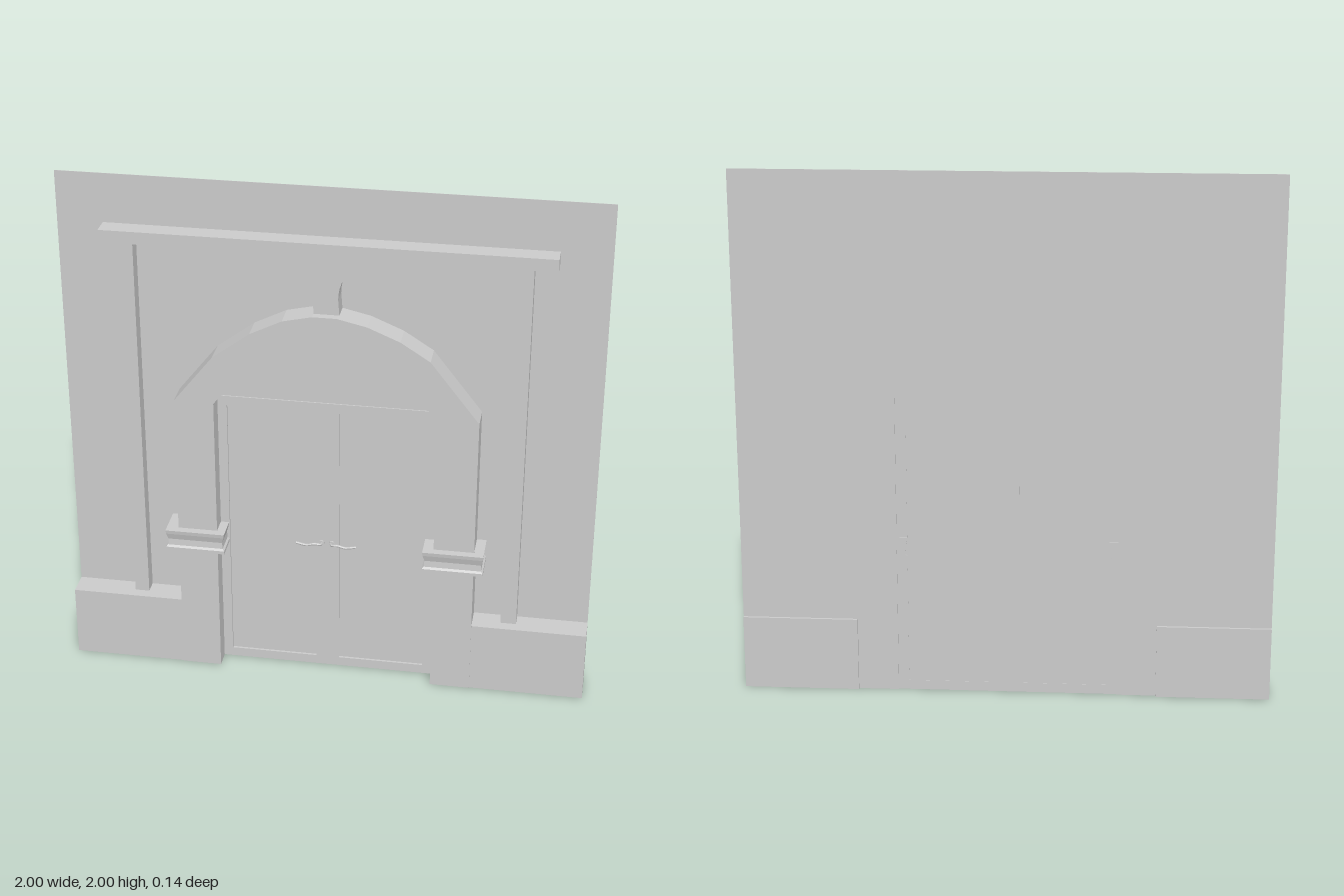
import * as THREE from 'three';

const WALL = -0.06; // plane of the wall face

export function createModel() {
  const model = new THREE.Group();
  const mat = new THREE.MeshStandardMaterial({ color: 0xcccccc, flatShading: true, side: THREE.DoubleSide });

  function add(name, geometry) {
    const mesh = new THREE.Mesh(geometry, mat);
    mesh.name = name;
    model.add(mesh);
    return mesh;
  }
  // box given by its limits
  function box(name, x0, x1, y0, y1, z0, z1) {
    const g = new THREE.BoxGeometry(x1 - x0, y1 - y0, z1 - z0);
    g.translate((x0 + x1) / 2, (y0 + y1) / 2, (z0 + z1) / 2);
    return add(name, g);
  }
  // flat outline extruded from z0 to z1
  function slab(name, shape, z0, z1) {
    const g = new THREE.ExtrudeGeometry(shape, { depth: z1 - z0, bevelEnabled: false, curveSegments: 10 });
    g.translate(0, 0, z0);
    return add(name, g);
  }
  const outline = (pts) => new THREE.Shape(pts.map(([x, y]) => new THREE.Vector2(x, y)));
  const rect = (x0, x1, y0, y1) => [[x0, y0], [x1, y0], [x1, y1], [x0, y1]];

  // thin wall with the doorway left open
  slab('wall', outline([
    [-1, 0], [-0.42, 0], [-0.42, 1.16], [0.41, 1.16], [0.41, 0], [1, 0], [1, 2], [-1, 2],
  ]), WALL - 0.002, WALL);

  // inner arc of the arch, from left springing to right
  const arc = [];
  const half = Math.asin(0.415 / 0.508);
  for (let i = 0; i <= 14; i++) {
    const a = -half + (2 * half * i) / 14;
    arc.push([-0.005 + 0.508 * Math.sin(a), 0.867 + 0.508 * Math.cos(a)]);
  }

  // arched surround with its two jambs
  slab('archSurround', outline([
    [-0.57, 0], [-0.57, 1.16], [-0.42, 1.35], [-0.28, 1.455], [-0.16, 1.515], [-0.05, 1.54],
    [0.04, 1.54], [0.15, 1.515], [0.27, 1.465], [0.38, 1.395], [0.563, 1.16], [0.563, 0],
    [0.41, 0], ...arc.slice().reverse(), [-0.42, 0],
  ]), WALL, 0.04);
  slab('tympanum', outline(arc), WALL, -0.035);

  // double door: frame with two sunk panels
  const frame = outline(rect(-0.42, 0.41, 0, 1.16));
  for (const [x0, x1] of [[-0.385, -0.05], [0.04, 0.37]]) {
    frame.holes.push(new THREE.Path(rect(x0, x1, 0.037, 1.122).map(([x, y]) => new THREE.Vector2(x, y))));
    box('doorPanel', x0, x1, 0.037, 1.122, -0.056, -0.039);
  }
  slab('doorFrame', frame, -0.057, -0.03);

  // lever handles
  for (const [side, x] of [[-1, -0.028], [1, 0.012]]) {
    const path = new THREE.CatmullRomCurve3(
      [[0, 0.56, -0.045], [0, 0.561, -0.012], [0.025, 0.565, -0.006], [0.055, 0.558, -0.006], [0.095, 0.563, -0.01]]
        .map(([d, y, z]) => new THREE.Vector3(x + side * d, y, z)));
    add('doorHandle', new THREE.TubeGeometry(path, 14, 0.005, 6));
    const rose = new THREE.CylinderGeometry(0.011, 0.011, 0.012, 10);
    rose.rotateX(Math.PI / 2);
    rose.translate(x, 0.56, -0.028);
    add('handleRose', rose);
  }

  // moulded bands around the jambs: rows of [height, inset], top first
  const rows = [[0.615, 0], [0.6, 0.002], [0.575, 0.009], [0.55, 0.007], [0.543, 0], [0.53, 0]];
  for (const [x0, x1] of [[-0.615, -0.388], [0.37, 0.6]]) {
    const g = new THREE.BoxGeometry(x1 - x0, rows.length - 1, 0.07 - WALL, 1, rows.length - 1, 1);
    const p = g.attributes.position;
    for (let i = 0; i < p.count; i++) {
      const [y, inset] = rows[Math.round((rows.length - 1) / 2 - p.getY(i))];
      p.setXYZ(i,
        (x0 + x1) / 2 + p.getX(i) - Math.sign(p.getX(i)) * inset,
        y,
        p.getZ(i) > 0 ? 0.07 - inset : WALL);
    }
    g.computeVertexNormals();
    add('jambMoulding', g);
  }

  // plinths, slim pilasters and the cornice bar
  box('rightPlinth', -1, -0.57, 0, 0.285, -0.072, 0.037);
  box('leftPlinth', 0.563, 1, 0, 0.285, -0.072, 0.037);
  box('rightPilaster', -0.765, -0.71, 0.285, 1.765, WALL, -0.005);
  box('leftPilaster', 0.67, 0.73, 0.285, 1.765, WALL, -0.005);
  box('cornice', -0.83, 0.815, 1.765, 1.812, WALL, 0.014);

  // flared keystone bracket between arch and cornice
  const key = new THREE.Shape();
  key.moveTo(-0.05, 1.535);
  key.lineTo(0.045, 1.535);
  key.lineTo(0.04, 1.6);
  key.bezierCurveTo(0.04, 1.68, 0.09, 1.74, 0.15, 1.765);
  key.lineTo(-0.165, 1.765);
  key.bezierCurveTo(-0.1, 1.74, -0.05, 1.68, -0.05, 1.6);
  key.closePath();
  slab('keystoneBracket', key, WALL, 0.01);

  return model;
}
